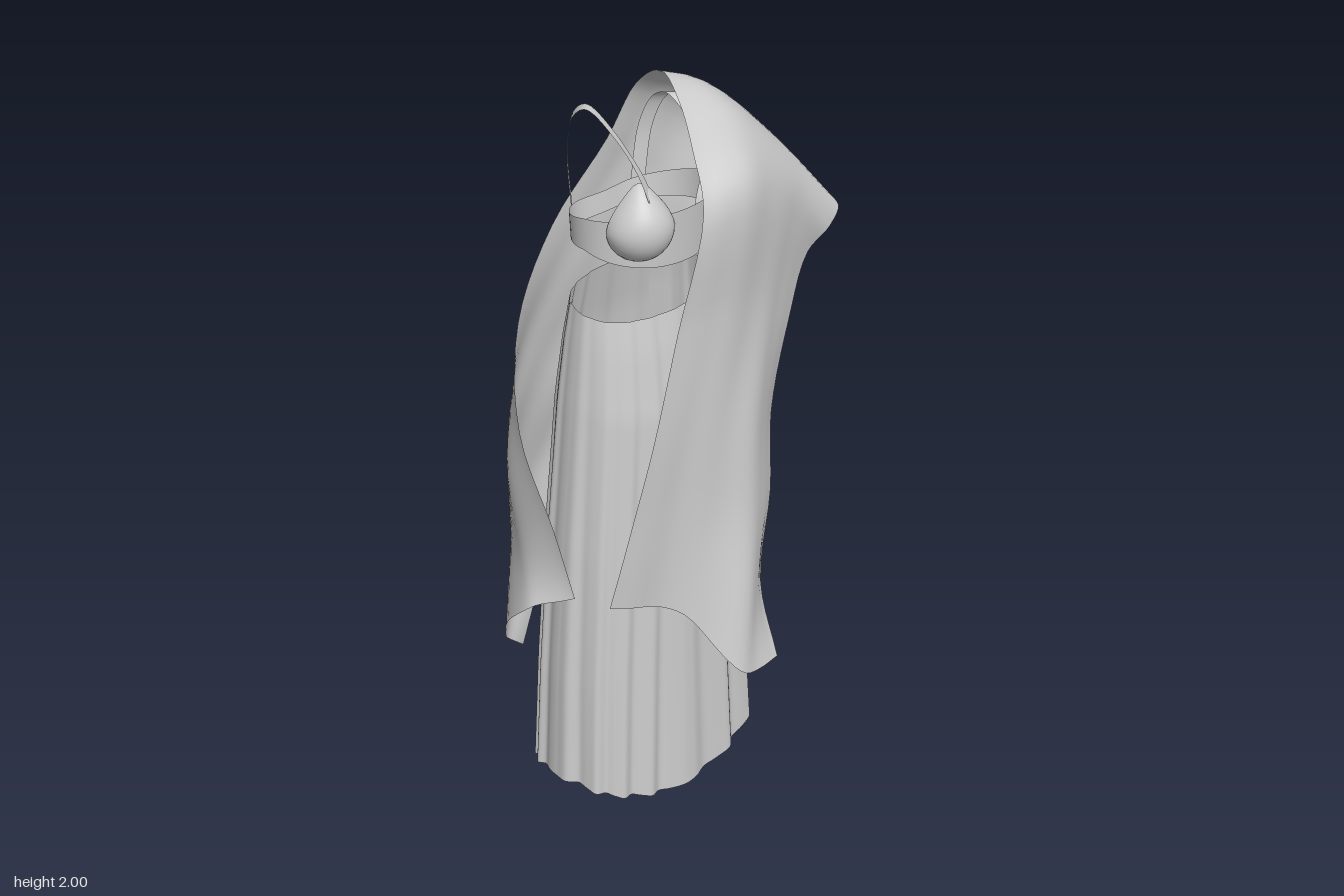
import * as THREE from 'three';
import { ParametricGeometry } from 'three/addons/geometries/ParametricGeometry.js';

const cloth = new THREE.MeshStandardMaterial({ color: 0xcccccc, side: THREE.DoubleSide, roughness: 0.9 });
const CX = -0.1; // body axis of the garments below the shawl
const V = (p) => new THREE.Vector3(...p);
const curve = (pts) => new THREE.CatmullRomCurve3(pts);
const power = (n, e) => Math.sign(n) * Math.abs(n) ** e;

function sheet(name, fn, slices, stacks) {
  const mesh = new THREE.Mesh(new ParametricGeometry(fn, slices, stacks), cloth);
  mesh.name = name;
  return mesh;
}

// Linear lookup in a list of [y, value...] stations
function station(list, y) {
  let i = 0;
  while (i < list.length - 2 && y > list[i + 1][0]) i++;
  const [a, b] = [list[i], list[i + 1]];
  const t = (y - a[0]) / (b[0] - a[0]);
  return a.map((n, k) => n + (b[k] - n) * t);
}

// Long skirt: rounded-box sections with broad uneven pleats deepening to the hem
function skirt() {
  // height, half width, front z, back z
  const sections = [
    [0, 0.336, 0.163, -0.213], [0.4, 0.316, 0.155, -0.207], [0.8, 0.287, 0.149, -0.198],
    [1.2, 0.25, 0.139, -0.183], [1.36, 0.23, 0.116, -0.163], [1.5, 0.21, 0.088, -0.135],
  ];
  return sheet('skirt', (u, v, out) => {
    const a = u * Math.PI * 2;
    const box = 0.72 + 0.16 * v;
    const c = power(Math.cos(a), box), s = power(Math.sin(a), box);
    const hem = 0.09 * c * c, rim = 1.462 - 0.022 * s;
    const y = hem + (rim - hem) * v;
    const [, rx, zf, zb] = station(sections, y);
    // pleats push outwards evenly on every side, with crests steeper than valleys
    const phase = a * 17 + 1.2 * Math.sin(a * 3 + 0.6);
    const wave = Math.sin(phase + 0.5 * Math.sin(phase)) + 0.3 * Math.sin(a * 8 + 1);
    const push = 0.009 * wave * (1 - v * 0.85);
    out.set(CX + rx * c + push * Math.cos(a), y, (zf + zb) / 2 + ((zf - zb) / 2) * s + push * Math.sin(a));
  }, 240, 24);
}

// Shawl rows, each from the neck edge to the arm edge
const frontRows = [
  [[-0.42, 0.72, 0.18], [-0.2, 0.62, 0.21], [-0.05, 0.4, 0.31], [0.1, 0.37, 0.29]],
  [[-0.39, 0.81, 0.185], [-0.18, 0.74, 0.21], [0.0, 0.6, 0.28], [0.125, 0.56, 0.2]],
  [[-0.35, 0.93, 0.19], [-0.15, 0.9, 0.21], [0.05, 0.84, 0.24], [0.2, 0.8, 0.16]],
  [[-0.28, 1.15, 0.2], [-0.1, 1.12, 0.21], [0.08, 1.08, 0.215], [0.23, 1.02, 0.13]],
  [[-0.19, 1.43, 0.195], [-0.01, 1.42, 0.205], [0.16, 1.36, 0.18], [0.29, 1.27, 0.13]],
  [[-0.1, 1.73, 0.195], [0.05, 1.75, 0.205], [0.23, 1.62, 0.165], [0.38, 1.43, 0.11]],
];
const shoulderRows = [
  [[-0.05, 1.85, 0.11], [0.1, 1.84, 0.13], [0.28, 1.7, 0.13], [0.44, 1.49, 0.13]],
  [[-0.01, 1.95, 0.02], [0.13, 1.91, 0.05], [0.31, 1.75, 0.07], [0.485, 1.535, 0.12]],
  [[0.01, 2.0, -0.06], [0.14, 1.94, -0.06], [0.32, 1.78, -0.05], [0.49, 1.55, 0.05]],
  [[0.01, 1.94, -0.15], [0.13, 1.88, -0.155], [0.31, 1.74, -0.135], [0.45, 1.54, -0.035]],
];
const backRows = [
  [[-0.06, 1.8, -0.185], [0.06, 1.73, -0.19], [0.2, 1.6, -0.155], [0.32, 1.45, -0.09]],
  [[-0.25, 1.62, -0.19], [-0.13, 1.5, -0.21], [0.03, 1.37, -0.205], [0.18, 1.26, -0.17]],
  [[-0.4, 1.41, -0.16], [-0.3, 1.25, -0.235], [-0.14, 1.13, -0.25], [0.02, 1.05, -0.22]],
  [[-0.468, 1.15, -0.09], [-0.42, 1.0, -0.2], [-0.26, 0.87, -0.3], [-0.1, 0.82, -0.275]],
  [[-0.46, 0.9, 0.02], [-0.45, 0.78, -0.13], [-0.32, 0.67, -0.29], [-0.19, 0.6, -0.295]],
  [[-0.43, 0.7, 0.06], [-0.5, 0.65, -0.05], [-0.43, 0.45, -0.22], [-0.34, 0.36, -0.25]],
];

function shawl() {
  const rows = [...frontRows, ...shoulderRows, ...backRows];
  const columns = [0, 1, 2, 3].map((k) => curve(rows.map((r) => V(r[k]))));
  return sheet('shawl', (u, v, out) => {
    curve(columns.map((c) => c.getPoint(v))).getPoint(u, out);
    // shallow hanging folds, fading out over the shoulder
    const hang = Math.abs(v - 0.5) * 2;
    out.z += 0.004 * hang * Math.sin(u * 22) * Math.sin(u * Math.PI);
  }, 28, 75);
}

// Chest band: closed strip, tall between the cups, narrow and dipped at the back
function chestBand() {
  return sheet('chestBand', (u, v, out) => {
    const a = u * Math.PI * 2, c = Math.cos(a), s = Math.sin(a);
    const front = Math.max(s, 0), back = Math.max(-s, 0);
    const bottom = 1.64 - 0.045 * front - 0.01 * back;
    const height = 0.085 - 0.03 * back + 0.06 * front;
    const spine = 1 - 0.12 * back ** 12;
    out.set(CX - 0.01 + 0.203 * c, bottom + height * v, -0.005 + (0.152 + 0.008 * v) * s * spine);
  }, 72, 4);
}

// Cup: half dome drawn up to a point where the strap begins
function cup(x) {
  const geo = new THREE.SphereGeometry(1, 24, 16, 0, Math.PI);
  const p = geo.attributes.position;
  for (let i = 0; i < p.count; i++) {
    const up = Math.max(p.getY(i), 0);
    p.setX(i, p.getX(i) * (1 - 0.2 * up));
    p.setY(i, p.getY(i) * (1 + 0.25 * up ** 6));
  }
  geo.scale(0.088, 0.09, 0.085);
  geo.computeVertexNormals();
  const mesh = new THREE.Mesh(geo, cloth);
  mesh.name = 'cup';
  mesh.position.set(x, 1.71, 0.095);
  mesh.rotation.y = x < CX ? -0.35 : 0.35;
  return mesh;
}

// Strap: flat ribbon from the cup over the shoulder to the back of the band
function strap(side, drop) {
  const path = curve([
    [0.12, 1.79, 0.135], [0.125, 1.85, 0.1], [0.137, 1.93, 0.03], [0.147, 1.982, -0.055],
    [0.147, 1.95, -0.105], [0.135, 1.84, -0.142], [0.115, 1.67, -0.152],
  ].map(([x, y, z]) => V([CX + side * x, y - drop * Math.max(0, (y - 1.78) / 0.2), z])));
  return sheet('strap', (u, v, out) => {
    path.getPoint(v, out);
    const width = 0.026 + 0.05 * Math.max(0, 0.25 - v);
    out.x += (u - 0.5) * width;
    out.z += (u - 0.5) * 0.025 * side;
  }, 2, 40);
}

export function createModel() {
  const model = new THREE.Group();
  model.name = 'drapedOutfit';
  const top = new THREE.Group();
  top.name = 'top';
  top.add(chestBand());
  for (const side of [-1, 1]) {
    top.add(cup(CX + side * 0.122), strap(side, side > 0 ? 0.05 : 0));
  }
  model.add(skirt(), top, shawl());
  return model;
}
